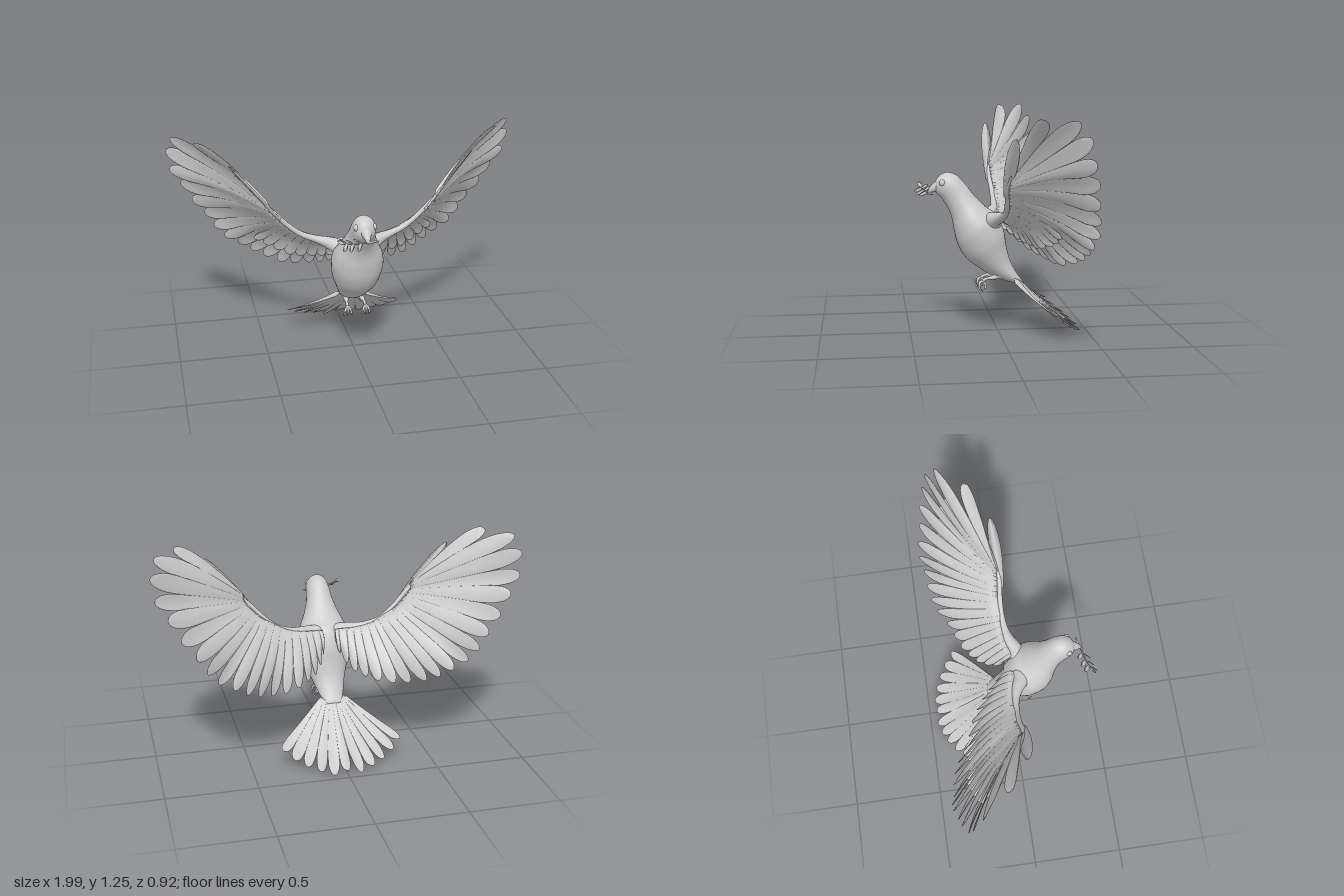
import * as THREE from 'three';

const V = (x, y, z) => new THREE.Vector3(x, y, z);
const curve = (pts) => new THREE.CatmullRomCurve3(pts);
const mat = new THREE.MeshStandardMaterial({ color: 0xcccccc, side: THREE.DoubleSide });

// Skins closed rings of points, caps both ends and turns the faces outward.
function loft(rings) {
  const n = rings[0].length, m = rings.length, pos = [], idx = [];
  rings.forEach((r) => r.forEach((p) => pos.push(p.x, p.y, p.z)));
  for (let i = 0; i < m - 1; i++) {
    for (let j = 0; j < n; j++) {
      const a = i * n + j, b = i * n + ((j + 1) % n);
      idx.push(a, b, a + n, b, b + n, a + n);
    }
  }
  [0, m - 1].forEach((k, e) => {
    const c = rings[k].reduce((s, p) => s.add(p), V(0, 0, 0)).divideScalar(n);
    pos.push(c.x, c.y, c.z);
    for (let j = 0; j < n; j++) {
      const a = k * n + j, b = k * n + ((j + 1) % n);
      if (e) idx.push(a, b, m * n + 1); else idx.push(b, a, m * n);
    }
  });
  const P = (i) => V(pos[3 * i], pos[3 * i + 1], pos[3 * i + 2]);
  let volume = 0;
  for (let i = 0; i < idx.length; i += 3) volume += P(idx[i]).dot(P(idx[i + 1]).cross(P(idx[i + 2])));
  if (volume < 0) idx.reverse();
  const g = new THREE.BufferGeometry();
  g.setAttribute('position', new THREE.Float32BufferAttribute(pos, 3));
  g.setIndex(idx);
  g.computeVertexNormals();
  return g;
}

function add(parent, name, geometry) {
  const mesh = new THREE.Mesh(geometry, mat);
  mesh.name = name;
  parent.add(mesh);
  return mesh;
}

function group(parent, name) {
  const g = new THREE.Group();
  g.name = name;
  parent.add(g);
  return g;
}

// Round limb through points [x, y, z, radius].
function limb(pts, steps = 16, sides = 10) {
  const c = curve(pts.map((p) => V(p[0], p[1], p[2])));
  const rad = curve(pts.map((p) => V(p[3], 0, 0)));
  const rings = [];
  const ref = V(0.3, 0.9, 0.2);
  for (let i = 0; i <= steps; i++) {
    const t = i / steps, p = c.getPoint(t), d = c.getTangent(t), r = rad.getPoint(t).x;
    const a = V(0, 0, 0).crossVectors(d, Math.abs(d.dot(ref)) > 0.93 ? V(1, 0, 0) : ref).normalize();
    const b = V(0, 0, 0).crossVectors(d, a);
    rings.push(Array.from({ length: sides }, (_, j) => {
      const q = (j / sides) * Math.PI * 2;
      return p.clone().addScaledVector(a, Math.cos(q) * r).addScaledVector(b, Math.sin(q) * r);
    }));
  }
  return loft(rings);
}

// Thin rounded blade (single feather or leaf) with face normal n.
function blade(root, tip, n, w, widest, thick) {
  const dir = tip.clone().sub(root).normalize();
  const side = V(0, 0, 0).crossVectors(n, dir).normalize();
  const rings = [], steps = 16;
  for (let i = 0; i <= steps; i++) {
    const t = Math.sin((i / steps) * Math.PI / 2), k = (t - widest) / (1 - widest);
    const h = w * Math.max(0.03, t < widest ? 0.3 + 0.7 * Math.sin((t / widest) * Math.PI / 2) : Math.sqrt(Math.max(0, 1 - k * k)));
    const c = root.clone().lerp(tip, t), th = thick * (1.05 - t * 0.8);
    rings.push([[h, 0], [0, th], [-h, 0], [0, -th]].map(([s, o]) =>
      c.clone().addScaledVector(side, s).addScaledVector(n, o)));
  }
  return loft(rings);
}

// Feathered sheet from a root curve to the tips: the far edge is cut into rounded
// feather ends, and each feather is twisted so that it overlaps the next.
// gap(i) is how far along the feather the cut before feather i + 1 reaches;
// thick(u) is the half thickness at the root.
function fan(roots, tips, { gap, thick, bow, twist, edge }) {
  const R = curve(roots), T = curve(tips), last = tips.length - 1, cols = 14, rings = [];
  tips.forEach((_, i) => {
    for (let a = 0; a <= 16; a++) {
      const s = Math.sin((a / 16 - 0.5) * Math.PI);
      const outer = (i === 0 && s < 0) || (i === last && s > 0);
      const f = s * (outer ? edge : 0.5), u = (i + f) / last, uc = THREE.MathUtils.clamp(u, 0, 1);
      const r = R.getPoint(uc), t = T.getPoint(uc);
      const n = V(0, 0, 0).crossVectors(t.clone().sub(r), T.getTangent(uc)).normalize();
      if (n.z > 0) n.negate();
      // Carry the outermost half feathers past the ends of the tip curve
      const step = tips[Math.min(i + 1, last)].distanceTo(tips[Math.min(i, last - 1)]);
      t.addScaledVector(T.getTangent(uc), (u - uc) * last * step);
      const cut = gap(s < 0 ? Math.max(i - 1, 0) : Math.min(i, last - 1));
      const reach = cut + (1 - cut) * Math.pow(Math.max(0, 1 - s * s), 0.47);
      const ring = [];
      const point = (k, sign) => {
        const v = (k / cols) * reach;
        const th = k === 0 ? 0 : thick(uc) * Math.pow(1 - k / cols, 1.5) + 0.002;
        const turn = s * twist * Math.pow(Math.max(0, v - 0.35) / 0.65, 2);
        return r.clone().lerp(t, v).addScaledVector(n, bow * 4 * v * (1 - v) + sign * th + turn);
      };
      for (let k = 0; k <= cols; k++) ring.push(point(k, 1));
      for (let k = cols; k > 0; k--) ring.push(point(k, -1));
      rings.push(ring);
    }
  });
  return loft(rings);
}

export function createModel() {
  const bird = new THREE.Group();
  bird.name = 'flyingBird';

  // Body: back (z, y), belly (z, y) and half width, from face to rump
  const sections = [
    [0.357, 0.84, 0.352, 0.803, 0.014], [0.337, 0.883, 0.337, 0.785, 0.043], [0.29, 0.909, 0.316, 0.765, 0.062],
    [0.235, 0.895, 0.297, 0.735, 0.068], [0.185, 0.845, 0.277, 0.7, 0.075], [0.13, 0.775, 0.259, 0.65, 0.097],
    [0.07, 0.715, 0.247, 0.58, 0.13], [0.01, 0.67, 0.226, 0.5, 0.146], [-0.033, 0.58, 0.182, 0.425, 0.137],
    [-0.048, 0.49, 0.12, 0.375, 0.113], [-0.068, 0.41, 0.04, 0.322, 0.088], [-0.1, 0.345, -0.05, 0.285, 0.068],
    [-0.14, 0.285, -0.125, 0.268, 0.045],
  ];
  const back = curve(sections.map((s) => V(0, s[1], s[0])));
  const belly = curve(sections.map((s) => V(0, s[3], s[2])));
  const width = curve(sections.map((s) => V(s[4], 0, 0)));
  const rings = [];
  for (let i = 0; i <= 60; i++) {
    const d = back.getPoint(i / 60), b = belly.getPoint(i / 60), w = width.getPoint(i / 60).x;
    rings.push(Array.from({ length: 36 }, (_, j) => {
      const a = (j / 36) * Math.PI * 2;
      const p = b.clone().lerp(d, 0.5 + 0.5 * Math.sin(a));
      p.x = w * Math.cos(a);
      return p;
    }));
  }
  add(bird, 'body', loft(rings));

  // Beak
  add(bird, 'beak', limb([[0, 0.835, 0.325, 0.036], [0, 0.824, 0.352, 0.026], [0, 0.809, 0.376, 0.015], [0, 0.785, 0.394, 0.002]], 14, 14));

  for (const s of [1, -1]) {
    const M = ([x, y, z]) => V(s * x, y, z);
    const L = (pts) => pts.map(([x, y, z, r]) => [s * x, y, z, r]);
    const sideName = s > 0 ? 'left' : 'right';

    const eye = add(bird, sideName + 'Eye', new THREE.SphereGeometry(0.018, 18, 12));
    eye.position.set(s * 0.05, 0.855, 0.314);
    eye.scale.x = 0.7;

    // Wing: root curve along the arm, then tips from the foremost feather inward
    const wing = group(bird, sideName + 'Wing');
    const roots = [[0.47, 0.9, 0.005], [0.45, 0.86, 0.005], [0.36, 0.775, -0.008], [0.22, 0.698, -0.005], [0.05, 0.665, 0.02]].map(M);
    const tips = [
      [0.84, 1.245, -0.11], [0.965, 1.24, -0.27], [0.995, 1.15, -0.33], [0.98, 1.03, -0.355], [0.92, 0.93, -0.385],
      [0.86, 0.82, -0.4], [0.79, 0.73, -0.42], [0.74, 0.65, -0.425], [0.68, 0.58, -0.41], [0.6, 0.535, -0.405],
      [0.53, 0.495, -0.39], [0.46, 0.465, -0.36], [0.38, 0.44, -0.31], [0.3, 0.435, -0.28], [0.22, 0.445, -0.25],
      [0.16, 0.46, -0.21], [0.11, 0.48, -0.17], [0.07, 0.52, -0.12], [0.045, 0.56, -0.07],
    ].map(M);
    add(wing, 'flightFeathers', fan(roots, tips, {
      gap: (i) => (i === 0 ? 0.55 : i < 8 ? 0.74 : 0.72), thick: (u) => 0.01 + 0.016 * u * u, bow: 0.022, twist: -0.016, edge: 0.25,
    }));
    // Shorter covert row under the inner wing
    const innerRoots = roots.slice(2), R = curve(innerRoots), inner = tips.slice(9);
    const covertTips = inner.map((t, i) => R.getPoint(i / (inner.length - 1)).lerp(t, 0.68).add(V(0, -0.004, 0.008)));
    add(wing, 'covertFeathers', fan(innerRoots, covertTips, { gap: () => 0.82, thick: () => 0.01, bow: 0.018, twist: -0.008, edge: 0.3 }));
    add(wing, 'thumbFeather', blade(M([0.41, 0.82, 0.012]), M([0.68, 1.14, -0.01]), M([0.65, -0.54, 0.4]).normalize(), 0.034, 0.6, 0.008));
    add(wing, 'wingArm', limb(L([
      [0.03, 0.61, 0.06, 0.045], [0.09, 0.645, 0.042, 0.045], [0.15, 0.668, 0.014, 0.032], [0.21, 0.685, -0.002, 0.021],
      [0.29, 0.716, -0.009, 0.016], [0.37, 0.779, -0.006, 0.014], [0.44, 0.855, 0.002, 0.013], [0.52, 0.94, -0.005, 0.004]]), 30, 14));

    // Leg with curled toes
    const leg = group(bird, sideName + 'Leg');
    add(leg, 'shank', limb(L([[0.04, 0.335, -0.01, 0.028], [0.046, 0.315, 0.03, 0.014], [0.05, 0.311, 0.065, 0.008], [0.052, 0.298, 0.095, 0.009]])));
    for (const k of [-1, 0, 1]) {
      add(leg, 'toe', limb(L([
        [0.052, 0.299, 0.092, 0.008], [0.052 + k * 0.014, 0.288, 0.11, 0.007],
        [0.052 + k * 0.02, 0.262, 0.112, 0.006], [0.052 + k * 0.021, 0.243, 0.094, 0.002]]), 12, 8));
    }
    add(leg, 'backToe', limb(L([[0.052, 0.299, 0.092, 0.008], [0.05, 0.28, 0.078, 0.007], [0.05, 0.258, 0.076, 0.006], [0.05, 0.246, 0.086, 0.002]]), 12, 8));
  }

  // Tail fan
  const half = [[0.075, 0.002, -0.46], [0.15, 0.025, -0.44], [0.215, 0.045, -0.41], [0.28, 0.075, -0.37], [0.335, 0.115, -0.32]];
  const tailTips = [...half.map(([x, y, z]) => V(-x, y, z)).reverse(), V(0, 0.02, -0.455), ...half.map((p) => V(...p))];
  add(bird, 'tail', fan([V(-0.06, 0.31, -0.085), V(0, 0.3, -0.1), V(0.06, 0.31, -0.085)], tailTips,
    { gap: (i) => (i % 3 === 1 ? 0.7 : 0.8), thick: () => 0.013, bow: -0.012, twist: 0.01, edge: 0.3 }));

  // Leafy twig held in the beak
  const twig = group(bird, 'twig');
  const stem = [[0.06, 0.793, 0.372, 0.004], [0, 0.795, 0.385, 0.004], [-0.07, 0.798, 0.402, 0.0035], [-0.13, 0.812, 0.42, 0.002]];
  add(twig, 'stem', limb(stem, 16, 6));
  const path = curve(stem.map((p) => V(p[0], p[1], p[2])));
  const leaf = (u, dx, dy, dz) => {
    const p = path.getPoint(u), d = V(dx, dy, dz), n = V(0.7, 0.6, 0.4);
    n.addScaledVector(d, -n.dot(d) / d.lengthSq()).normalize();
    add(twig, 'leaf', blade(p, p.clone().add(d), n, 0.013, 0.5, 0.002));
  };
  for (const u of [0.5, 0.72, 0.92]) {
    leaf(u, -0.03, -0.022, 0.045);
    leaf(u, -0.04, 0.018, -0.03);
  }
  leaf(1, -0.045, 0.025, 0.02);
  return bird;
}
